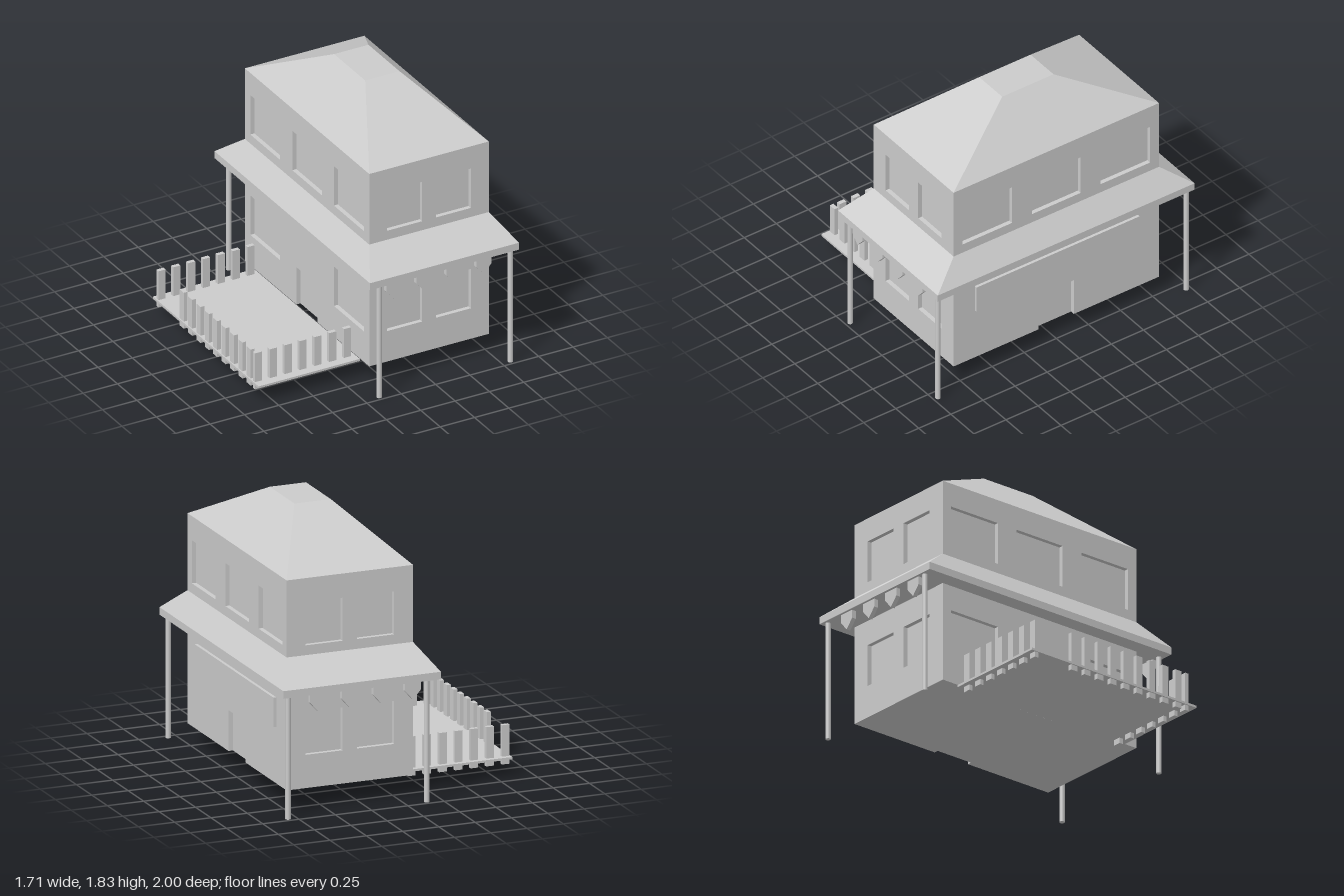
import * as THREE from 'three';

const material = new THREE.MeshStandardMaterial({ color: 0xcccccc, flatShading: true });
const postMaterial = new THREE.MeshStandardMaterial({ color: 0xcccccc });

const CX = 0.315;                  // middle of the house in x
const W = 0.87, D = 1.6;           // house width and depth
const BASE = 0.135, EAVES = 1.455; // bottom and top of the walls
const INSET = 0.03;                // depth of windows and doors

function add(parent, name, geometry, x = 0, y = 0, z = 0, mat = material) {
  const mesh = new THREE.Mesh(geometry, mat);
  mesh.name = name;
  mesh.position.set(x, y, z);
  parent.add(mesh);
  return mesh;
}

// Box given by its limits
function block(parent, name, x0, x1, y0, y1, z0, z1) {
  return add(parent, name, new THREE.BoxGeometry(x1 - x0, y1 - y0, z1 - z0),
    (x0 + x1) / 2, (y0 + y1) / 2, (z0 + z1) / 2);
}

// Hipped solid: a box whose top rectangle is smaller than its base
function hip(parent, name, w, d, topW, topD, y0, y1) {
  const g = new THREE.BoxGeometry(w, y1 - y0, d);
  const p = g.attributes.position;
  for (let i = 0; i < p.count; i++) {
    if (p.getY(i) > 0) {
      p.setX(i, Math.sign(p.getX(i)) * topW / 2);
      p.setZ(i, Math.sign(p.getZ(i)) * topD / 2);
    }
  }
  g.computeVertexNormals();
  return add(parent, name, g, CX, (y0 + y1) / 2, 0);
}

// Wall panel with window holes [u0, u1, y0, y1] and an optional doorway notch
function wall(parent, name, width, windows, door, angle, distance) {
  const h = width / 2;
  const pts = [[-h, BASE]];
  if (door) pts.push([-0.137, BASE], [-0.137, 0.405], [0.137, 0.405], [0.137, BASE]);
  pts.push([h, BASE], [h, EAVES], [-h, EAVES]);
  const shape = new THREE.Shape(pts.map(([x, y]) => new THREE.Vector2(x, y)));
  for (const [a, b, y0, y1] of windows) {
    shape.holes.push(new THREE.Path([[a, y0], [a, y1], [b, y1], [b, y0]]
      .map(([x, y]) => new THREE.Vector2(x, y))));
  }
  const g = new THREE.ExtrudeGeometry(shape, { depth: INSET, bevelEnabled: false });
  g.translate(0, 0, distance - INSET);
  const mesh = add(parent, name, g, CX, 0, 0);
  mesh.rotation.y = angle;
}

export function createModel() {
  const model = new THREE.Group();
  model.name = 'house';

  // House body: recessed core behind four walls with openings
  const body = new THREE.Group();
  body.name = 'body';
  model.add(body);
  const core = INSET;
  block(body, 'windowAndDoorPanes', CX - W / 2 + core, CX + W / 2 - core, BASE, EAVES, -D / 2 + core, D / 2 - core);

  const upper = [1.08, 1.365], lower = [0.355, 0.64];
  const endCols = [[-0.305, -0.05], [0.05, 0.305]];
  const sideCols = [[-0.73, -0.345], [-0.19, 0.19], [0.345, 0.73]];
  const rows = (cols, heights) => cols.map((c) => [...c, ...heights]);
  const endWindows = [...rows(endCols, upper), ...rows(endCols, lower)];
  wall(body, 'frontWall', W, endWindows, false, 0, D / 2);
  wall(body, 'backWall', W, endWindows, false, Math.PI, D / 2);
  const sideLength = D - 2 * INSET;
  wall(body, 'leftWall', sideLength, rows(sideCols, upper), true, Math.PI / 2, W / 2);
  wall(body, 'rightWall', sideLength,
    [...rows(sideCols, upper), ...rows([sideCols[0], sideCols[2]], lower)], true, -Math.PI / 2, W / 2);

  // Blank sign board above the left door
  block(body, 'signBoard', 0.74, 0.77, 0.51, 0.705, -0.635, 0.635);

  // Roof
  block(model, 'roofBand', CX - W / 2, CX + W / 2, EAVES, 1.525, -D / 2, D / 2);
  hip(model, 'roof', W, D, 0.25, 0.4, 1.525, 1.83);

  // Porch roof all round, with its fascia
  block(model, 'porchFascia', -0.228, 0.857, 0.81, 0.86, -1, 1);
  hip(model, 'porchRoof', 1.085, 2, W, D, 0.86, 1.015);

  // Porch posts
  const postGeometry = new THREE.CylinderGeometry(0.0175, 0.0175, 0.81, 16);
  for (const x of [-0.143, 0.812]) {
    for (const z of [-0.967, 0.967]) add(model, 'porchPost', postGeometry, x, 0.405, z, postMaterial);
  }

  // Pointed pennants hanging under the front and back fascia
  const pennant = new THREE.Shape([[-0.055, 0.81], [-0.055, 0.755], [0, 0.692], [0.055, 0.755], [0.055, 0.81]]
    .map(([x, y]) => new THREE.Vector2(x, y)));
  const pennantGeometry = new THREE.ExtrudeGeometry(pennant, { depth: 0.03, bevelEnabled: false });
  pennantGeometry.translate(0, 0, -0.015);
  for (let i = 0; i < 4; i++) {
    for (const z of [-0.967, 0.967]) add(model, 'pennant', pennantGeometry, -0.043 + i * 0.218, 0, z);
  }

  // Deck with picket fence on three sides, leaving a gap for the entrance
  const deck = new THREE.Group();
  deck.name = 'deck';
  model.add(deck);
  block(deck, 'deckFloor', -0.857, -0.12, 0.117, 0.132, -0.68, 0.68);
  for (let i = 0; i < 7; i++) {
    const x = -0.824 + i * 0.108;
    for (const z of [-0.635, 0.606]) block(deck, 'picket', x - 0.026, x + 0.026, 0.08, 0.34, z - 0.014, z + 0.014);
  }
  for (let i = 0; i < 9; i++) {
    const z = -0.323 + i * 0.1075;
    block(deck, 'picket', -0.849, -0.821, 0.08, 0.34, z - 0.026, z + 0.026);
  }

  return model;
}
